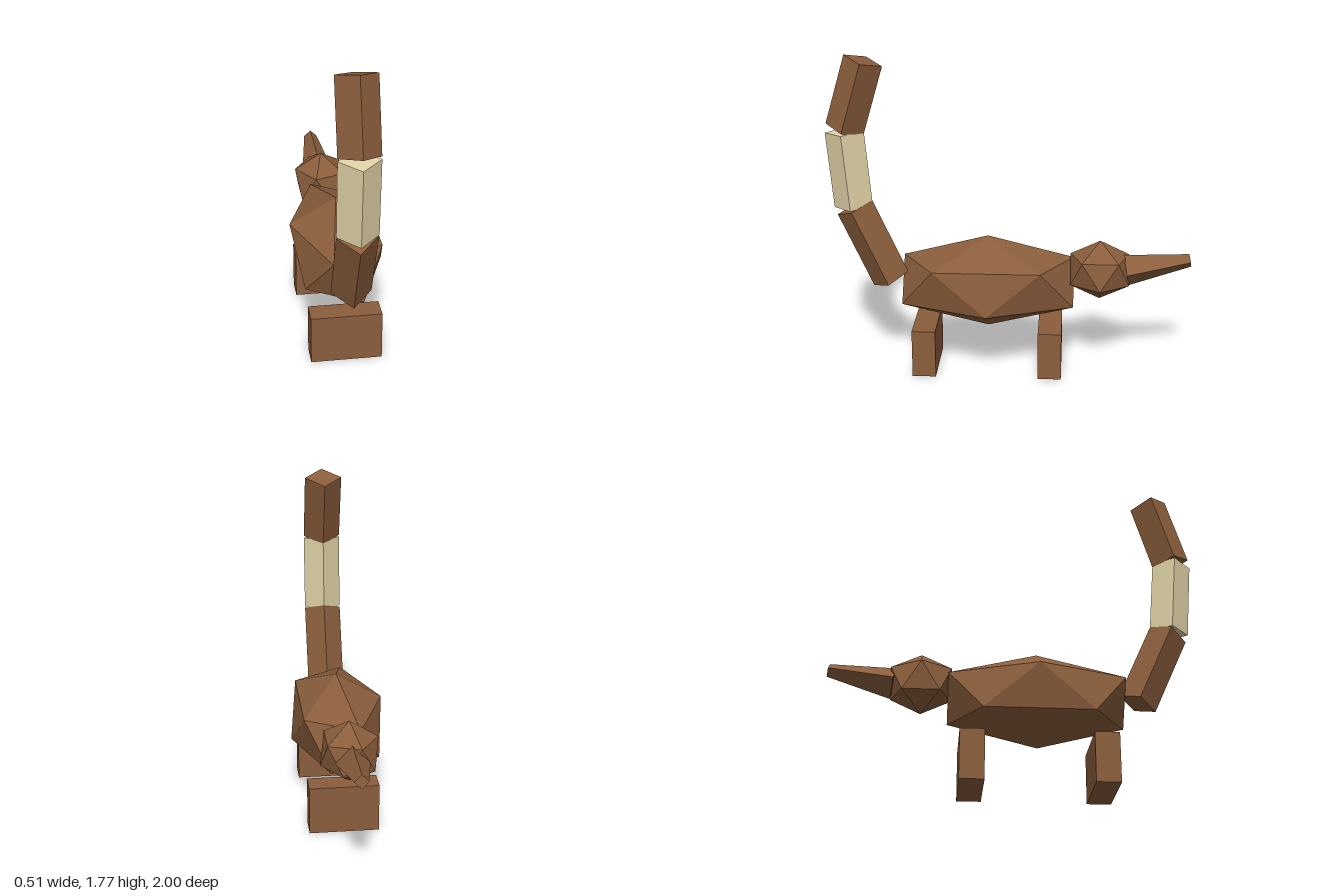
import * as THREE from 'three';

const brown = new THREE.MeshStandardMaterial({ name: 'brown', color: 0x8b5e3c, flatShading: true });
const cream = new THREE.MeshStandardMaterial({ name: 'cream', color: 0xe3d5a9, flatShading: true });

export function createModel() {
  const model = new THREE.Group();
  model.name = 'animal';

  const add = (name, geometry, material = brown) => {
    const mesh = new THREE.Mesh(geometry, material);
    mesh.name = name;
    model.add(mesh);
    return mesh;
  };

  // Stretched icosahedron standing on one of its corners
  const gem = (name, y, z, rx, ry, rz) => {
    const g = new THREE.IcosahedronGeometry(1, 0);
    g.rotateX(-Math.atan((1 + Math.sqrt(5)) / 2));
    g.rotateY(-Math.PI / 2);
    g.scale(rx, ry, rz);
    add(name, g).position.set(0, y, z);
  };

  // Four-sided bar in the x = 0 plane between two [y, z] points
  const bar = (name, [y0, z0], [y1, z1], r0, r1, material) => {
    const length = Math.hypot(y1 - y0, z1 - z0);
    const mesh = add(name, new THREE.CylinderGeometry(r1, r0, length, 4), material);
    mesh.position.set(0, (y0 + y1) / 2, (z0 + z1) / 2);
    mesh.rotation.x = Math.atan2(z1 - z0, y1 - y0);
  };

  gem('body', 0.505, 0.12, 0.285, 0.267, 0.558);
  gem('head', 0.583, -0.498, 0.17, 0.17, 0.19);
  bar('snout', [0.583, -0.645], [0.648, -0.993], 0.09, 0.037);

  // Raised tail in three bent segments, the middle one pale
  bar('tailBase', [0.506, 0.664], [0.923, 0.852], 0.106, 0.106);
  bar('tailBand', [0.931, 0.858], [1.352, 0.893], 0.106, 0.106, cream);
  bar('tailTip', [1.365, 0.89], [1.74, 0.777], 0.106, 0.106);

  // Wide block legs
  for (const [name, z] of [['tailSideLegs', 0.467], ['headSideLegs', -0.228]]) {
    add(name, new THREE.BoxGeometry(0.384, 0.27, 0.13)).position.set(0, 0.135, z);
  }

  return model;
}
